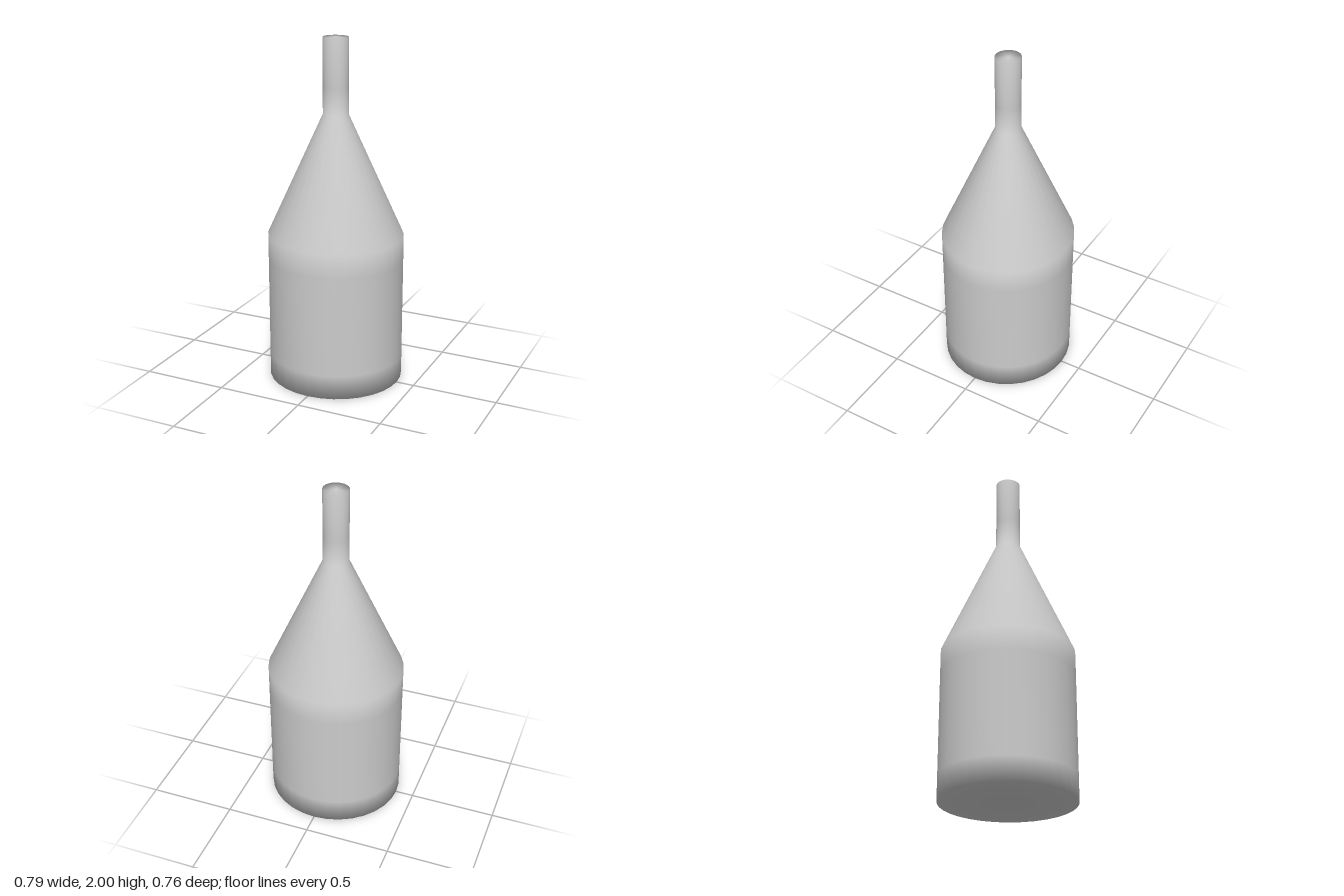
import * as THREE from 'three';
import { mergeVertices } from 'three/addons/utils/BufferGeometryUtils.js';

// Closed profile (radius, height), from the base centre up to the centre of the mouth
const profile = [
  [0, 0],
  [0.394, 0], [0.394, 0.14],      // foot
  [0.394, 0.73], [0.394, 0.87],   // body and shoulder edge
  [0.073, 1.57], [0.073, 1.72],   // cone and neck base
  [0.073, 2],                     // mouth
  [0, 2],
].map(([r, y]) => new THREE.Vector2(r, y));

export function createModel() {
  const group = new THREE.Group();
  group.name = 'bottle';

  let geometry = new THREE.LatheGeometry(profile, 32);
  geometry.scale(1, 1, 0.968); // slightly oval section

  // Weld the seam and caps so that shading runs smoothly over every edge
  geometry.deleteAttribute('normal');
  geometry.deleteAttribute('uv');
  geometry = mergeVertices(geometry, 1e-4);
  geometry.computeVertexNormals();

  const body = new THREE.Mesh(geometry, new THREE.MeshStandardMaterial({ color: 0xcccccc }));
  body.name = 'bottleBody';
  group.add(body);
  return group;
}
